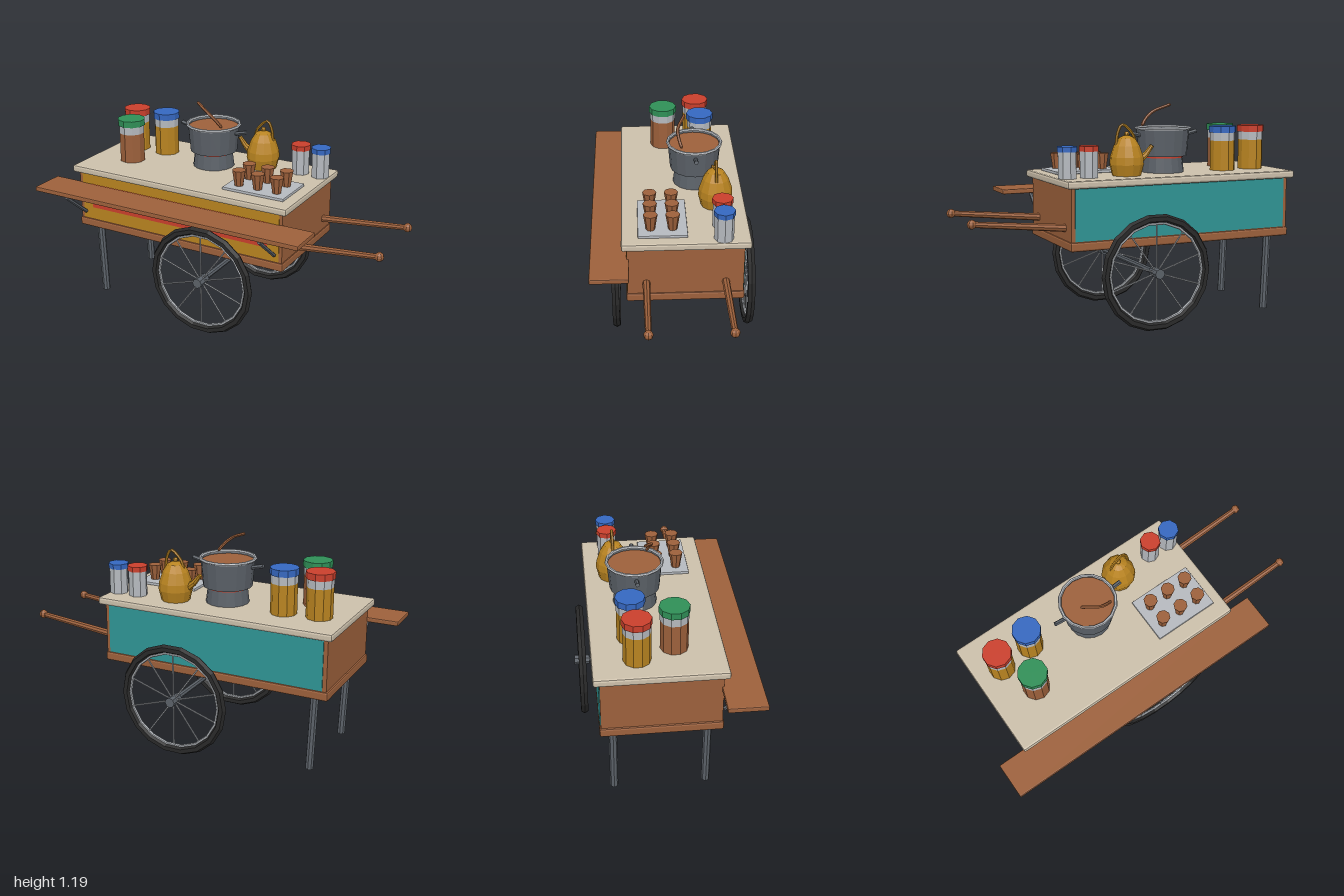
import * as THREE from 'three';
import { RoundedBoxGeometry } from 'three/addons/geometries/RoundedBoxGeometry.js';

const mat = (name, color, extra = {}) => {
  const m = new THREE.MeshStandardMaterial({ color, flatShading: true, ...extra });
  m.name = name;
  return m;
};

export function createModel() {
  const brown = mat('wood brown', 0x9c603b);
  const cream = mat('counter cream', 0xcbbfaa);
  const ochre = mat('ochre', 0xb88320);
  const red = mat('red', 0xc93f2c);
  const green = mat('green', 0x2f8f57);
  const blue = mat('blue', 0x3567bf);
  const steel = mat('dark steel', 0x5b6168, { side: THREE.DoubleSide });
  const silver = mat('silver', 0xb5b9be);
  const black = mat('rubber black', 0x292929);
  const teal = mat('teal', 0x2f9494);

  const cart = new THREE.Group();
  cart.name = 'foodCart';
  const add = (name, geo, material, x = 0, y = 0, z = 0, parent = cart) => {
    const m = new THREE.Mesh(geo, material);
    m.name = name;
    m.position.set(x, y, z);
    parent.add(m);
    return m;
  };
  // Box given by its low and high corners, optionally with softened edges
  const box = (name, material, [x0, y0, z0], [x1, y1, z1], r = 0) => {
    const s = [x1 - x0, y1 - y0, z1 - z0];
    const geo = r ? new RoundedBoxGeometry(...s, 1, r) : new THREE.BoxGeometry(...s);
    return add(name, geo, material, (x0 + x1) / 2, (y0 + y1) / 2, (z0 + z1) / 2);
  };
  // Round bar from a to b
  const bar = (name, material, a, b, ra, rb = ra, sides = 8, parent = cart) => {
    const p = new THREE.Vector3(...a), q = new THREE.Vector3(...b);
    const d = q.clone().sub(p);
    const m = add(name, new THREE.CylinderGeometry(rb, ra, d.length(), sides), material, 0, 0, 0, parent);
    m.position.copy(p).add(q).multiplyScalar(0.5);
    m.quaternion.setFromUnitVectors(new THREE.Vector3(0, 1, 0), d.normalize());
    return m;
  };
  const tube = (name, material, pts, r, parent = cart, n = 10) => {
    const curve = new THREE.CatmullRomCurve3(pts.map(p => new THREE.Vector3(...p)));
    return add(name, new THREE.TubeGeometry(curve, n, r, 6), material, 0, 0, 0, parent);
  };
  const lathe = (name, material, pts, sides, x, y, z, parent = cart) =>
    add(name, new THREE.LatheGeometry(pts.map(p => new THREE.Vector2(...p)), sides), material, x, y, z, parent);

  // Cart body, base moulding, counter and serving shelf
  box('body', brown, [-0.825, 0.49, -0.35], [0.475, 0.8, 0.265]);
  box('baseMoulding', brown, [-0.835, 0.46, -0.357], [0.482, 0.51, 0.272], 0.01);
  box('counter', cream, [-0.855, 0.79, -0.383], [0.505, 0.832, 0.293], 0.012);
  box('servingShelf', brown, [-1, 0.7, 0.255], [0.655, 0.727, 0.458], 0.006);
  for (const x of [-0.785, 0.435])
    bar('shelfBracket', steel, [x, 0.698, 0.45], [x, 0.555, 0.278], 0.011, 0.011, 6);

  // Painted panels: back, then layered front
  box('backPanel', teal, [-0.803, 0.513, -0.355], [0.455, 0.79, -0.349]);
  box('frontPanel', ochre, [-0.805, 0.513, 0.264], [0.457, 0.79, 0.268]);
  box('redField', red, [-0.74, 0.585, 0.266], [0.39, 0.728, 0.271]);
  box('ochreBand', ochre, [-0.67, 0.634, 0.268], [0.325, 0.68, 0.274]);
  for (const x of [-0.592, 0.248]) {
    box('squareFrame', cream, [x - 0.052, 0.61, 0.27], [x + 0.052, 0.702, 0.277]);
    box('squareCentre', ochre, [x - 0.028, 0.632, 0.274], [x + 0.028, 0.68, 0.28]);
  }

  // Legs and push handles
  for (const z of [0.203, -0.287]) bar('leg', steel, [-0.725, 0.033, z], [-0.742, 0.47, z], 0.022);
  for (const z of [0.165, -0.255]) {
    bar('pushHandle', brown, [0.46, 0.573, z], [0.97, 0.624, z], 0.021, 0.016);
    add('handleKnob', new THREE.SphereGeometry(0.025, 8, 6), brown, 0.975, 0.625, z);
  }

  // Axle and spoked wheels
  const ax = 0.02, ay = 0.327;
  bar('axle', steel, [ax, ay, -0.42], [ax, ay, 0.335], 0.016);
  for (const z of [0.335, -0.418]) {
    const wheel = new THREE.Group();
    wheel.name = 'wheel';
    wheel.position.set(ax, ay, z);
    cart.add(wheel);
    add('tyre', new THREE.TorusGeometry(0.294, 0.023, 6, 18), black, 0, 0, 0, wheel);
    add('rim', new THREE.TorusGeometry(0.268, 0.008, 6, 18), silver, 0, 0, 0, wheel);
    bar('hub', steel, [0, 0, -0.043], [0, 0, 0.043], 0.028, 0.028, 8, wheel);
    for (let i = 0; i < 10; i++) {
      const a = (i + 0.5) * Math.PI / 5;
      bar('spoke', silver, [0, 0, 0], [0.268 * Math.cos(a), 0.268 * Math.sin(a), 0], 0.0045, 0.0045, 5, wheel);
    }
  }

  // Lidded jars: body, silver neck and coloured lid
  const top = 0.832;
  const jar = (name, x, z, r, h, lidH, neckH, sides, body, lid) => {
    const g = new THREE.Group();
    g.name = name;
    g.position.set(x, top, z);
    cart.add(g);
    const bodyH = h - lidH - neckH;
    add('jarBody', new THREE.CylinderGeometry(r * 0.92, r * 0.92, bodyH, sides), body, 0, bodyH / 2, 0, g);
    if (neckH)
      add('jarNeck', new THREE.CylinderGeometry(r * 0.93, r * 0.93, neckH, sides), silver, 0, bodyH + neckH / 2, 0, g);
    add('jarLid', new THREE.CylinderGeometry(r, r, lidH, sides), lid, 0, h - lidH / 2, 0, g);
  };
  jar('redJar', -0.7, -0.155, 0.077, 0.248, 0.036, 0.045, 10, ochre, red);
  jar('blueJar', -0.508, -0.172, 0.077, 0.248, 0.036, 0.045, 10, ochre, blue);
  jar('greenJar', -0.61, 0.04, 0.079, 0.248, 0.036, 0.045, 10, brown, green);
  jar('smallRedJar', 0.333, -0.24, 0.056, 0.168, 0.028, 0, 8, silver, red);
  jar('smallBlueJar', 0.455, -0.24, 0.056, 0.168, 0.028, 0, 8, silver, blue);

  // Burner, cooking pot, stew and ladle
  const px = -0.158, pz = -0.12;
  add('burner', new THREE.CylinderGeometry(0.108, 0.118, 0.085, 16), steel, px, 0.8745, pz);
  add('burnerRing', new THREE.CylinderGeometry(0.112, 0.112, 0.01, 16), red, px, 0.918, pz);
  lathe('pot', steel, [[0, 0], [0.134, 0], [0.147, 0.15]], 16, px, 0.923, pz);
  const rim = add('potRim', new THREE.TorusGeometry(0.148, 0.009, 6, 16), silver, px, 1.074, pz);
  rim.rotation.x = Math.PI / 2;
  add('stew', new THREE.CylinderGeometry(0.143, 0.143, 0.01, 16), brown, px, 1.055, pz);
  for (const s of [-1, 1])
    bar('potHandle', steel, [px + s * 0.138, 1.037, pz], [px + s * 0.208, 1.054, pz], 0.012, 0.012, 6);
  const ladle = [[-0.068, 1.09, -0.045], [-0.09, 1.12, -0.034], [-0.14, 1.162, -0.028], [-0.225, 1.2, -0.066]];
  tube('ladleHandle', brown, ladle, 0.009);
  add('ladleTip', new THREE.SphereGeometry(0.009, 6, 4), brown, ...ladle[0]);
  add('ladleEnd', new THREE.SphereGeometry(0.009, 6, 4), brown, ...ladle[3]);

  // Kettle with spout, lid knob and arched handle
  const kettle = new THREE.Group();
  kettle.name = 'kettle';
  kettle.position.set(0.107, top, -0.22);
  cart.add(kettle);
  lathe('kettleBody', ochre, [[0, 0], [0.078, 0], [0.093, 0.06], [0.09, 0.1], [0.07, 0.16], [0.045, 0.2], [0.02, 0.212], [0, 0.216]], 12, 0, 0, 0, kettle);
  add('kettleKnob', new THREE.SphereGeometry(0.014, 8, 6), ochre, 0, 0.222, 0, kettle);
  bar('kettleSpout', ochre, [-0.06, 0.065, 0], [-0.115, 0.11, 0], 0.024, 0.016, 8, kettle);
  bar('kettleSpoutTip', ochre, [-0.115, 0.11, 0], [-0.15, 0.155, 0], 0.016, 0.011, 8, kettle);
  tube('kettleHandle', ochre, [[-0.05, 0.18, 0], [-0.035, 0.222, 0], [0.026, 0.274, 0], [0.05, 0.235, 0], [0.062, 0.165, 0]], 0.008, kettle, 12);

  // Tray of cups
  box('tray', silver, [0.08, top, -0.055], [0.445, 0.848, 0.205], 0.004);
  for (const x of [0.148, 0.262, 0.375])
    for (const z of [0.022, 0.138])
      add('cup', new THREE.CylinderGeometry(0.038, 0.024, 0.088, 8), brown, x, 0.891, z);

  return cart;
}
